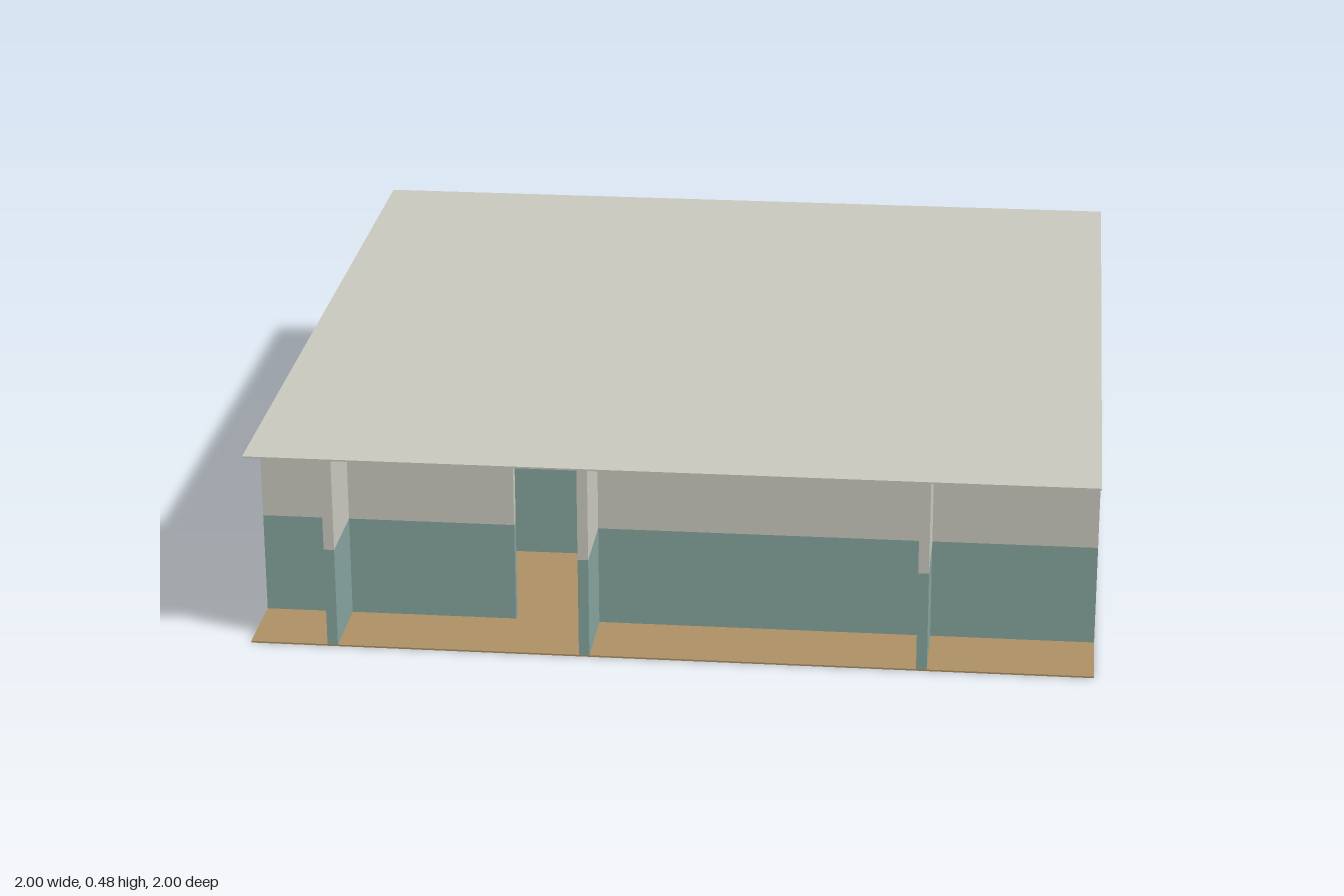
import * as THREE from 'three';

const HEIGHT = 0.476;  // underside of the roof
const BAND = 0.25;     // top of the painted lower band
const T = 0.025;       // partition thickness
const THIN = 0.006;    // outer shell thickness

export function createModel() {
  const model = new THREE.Group();
  const material = (name, color) => {
    const m = new THREE.MeshStandardMaterial({ color });
    m.name = name;
    return m;
  };
  const grey = material('warm grey plaster', 0xc8c7bd);
  const teal = material('teal paint', 0x84a29c);
  const tan = material('tan floor', 0xab8f64);

  // Box given by its lower and upper limits on each axis
  function block(parent, name, mat, x0, x1, y0, y1, z0, z1) {
    const mesh = new THREE.Mesh(new THREE.BoxGeometry(x1 - x0, y1 - y0, z1 - z0), mat);
    mesh.position.set((x0 + x1) / 2, (y0 + y1) / 2, (z0 + z1) / 2);
    mesh.name = name;
    parent.add(mesh);
  }

  // Wall with a painted lower band and plain upper part
  function wall(name, x0, x1, z0, z1) {
    const group = new THREE.Group();
    group.name = name;
    block(group, 'lowerBand', teal, x0, x1, 0.002, BAND, z0, z1);
    block(group, 'upperWall', grey, x0, x1, BAND, HEIGHT, z0, z1);
    model.add(group);
  }
  const wallAlongX = (name, z, x0, x1) => wall(name, x0, x1, z - T / 2, z + T / 2);
  const wallAlongZ = (name, x, z0, z1) => wall(name, x - T / 2, x + T / 2, z0, z1);

  // Floor and roof slabs
  block(model, 'floor', tan, -1, 1, 0, 0.004, -1, 1);
  block(model, 'roof', grey, -1, 1, HEIGHT, 0.48, -1, 1);

  // Back wall in three panels, separated by the partition ends
  for (const [x0, x1] of [[-1, -0.4 - T / 2], [-0.4 + T / 2, 0.2 - T / 2], [0.2 + T / 2, 1]])
    wall('backWall', x0, x1, -1, -1 + THIN);

  // Side wall with a doorway
  for (const [z0, z1] of [[-1, -0.79], [-0.61, 0.39]])
    wall('sideWall', -1, -1 + THIN, z0, z1);

  // Room partitions, one of them with a doorway
  wallAlongZ('roomPartition', -0.4, -1, 0.39);
  wallAlongZ('roomPartition', 0.2, -1, -0.19);
  wallAlongZ('roomPartition', 0.2, -0.005, 0.39);

  // Corridor walls; the front one has an entrance
  wallAlongX('corridorWall', 0.4, -1, 1);
  wallAlongX('frontWall', 0.8, -1, -0.39);
  wallAlongX('frontWall', 0.8, -0.21, 1);

  // Short dividers across the front strip
  for (const x of [-0.803, -0.2, 0.597]) wallAlongZ('frontDivider', x, 0.81, 1);

  return model;
}
